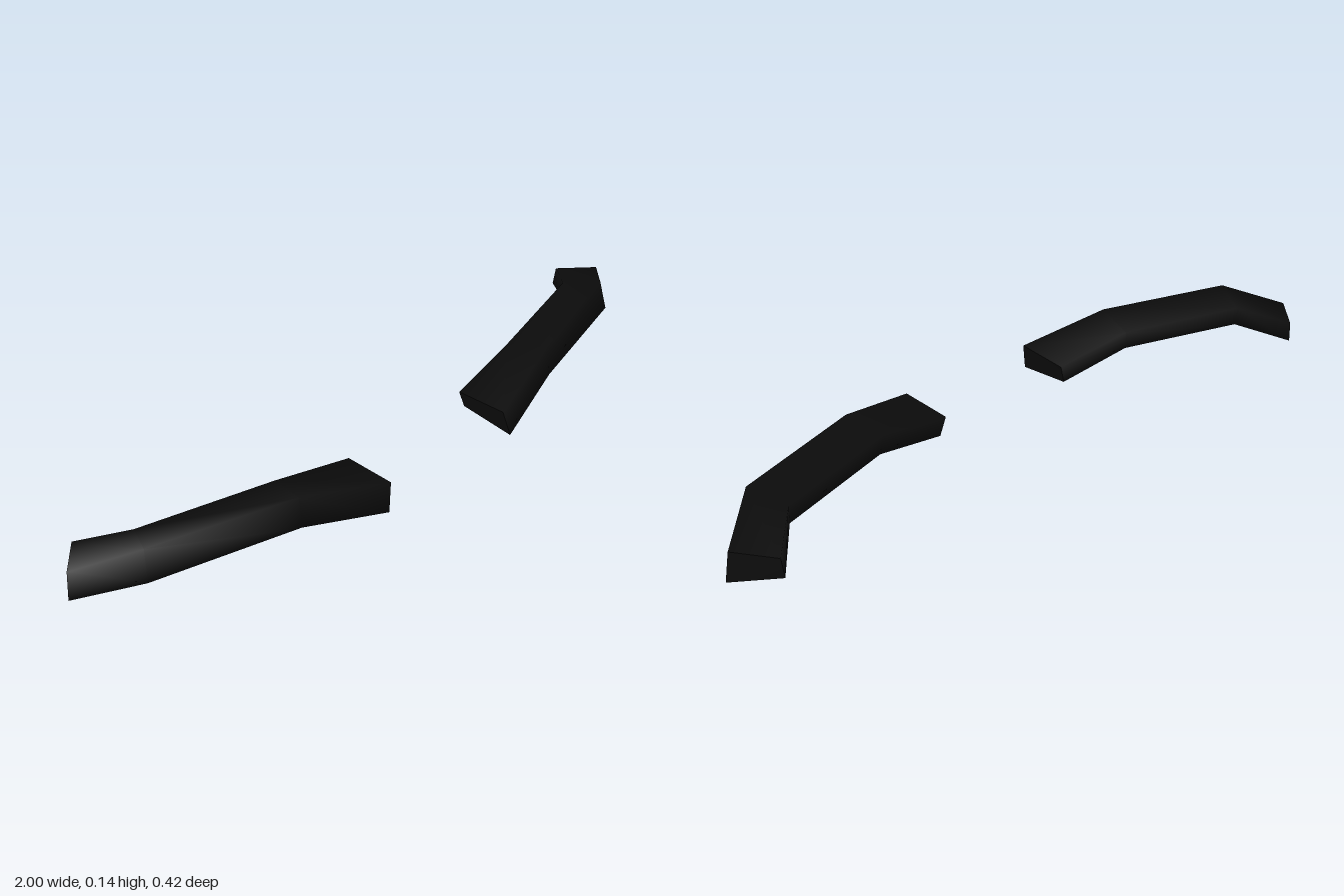
import * as THREE from 'three';

// Cross-sections from the inner end to the outer tip.
// Corners of each: top front, top back, bottom back, bottom front.
const SECTIONS = [
  [[0.213, 0.088, 0.197], [0.21, 0.079, 0.04], [0.226, 0.026, 0.045], [0.232, 0.009, 0.21]],
  [[0.465, 0.144, 0.13], [0.44, 0.119, 0.013], [0.445, 0.067, 0.02], [0.47, 0.06, 0.143]],
  [[0.85, 0.142, 0.012], [0.803, 0.116, -0.09], [0.80, 0.064, -0.085], [0.862, 0.055, 0.03]],
  [[0.99, 0.082, -0.112], [0.91, 0.073, -0.204], [0.905, 0.02, -0.209], [1.0, 0.0, -0.107]],
];

function toGeometry(points, quads, flip) {
  const index = [];
  for (const [a, b, c, d] of quads) {
    index.push(...(flip ? [a, c, b, a, d, c] : [a, b, c, a, c, d]));
  }
  const geometry = new THREE.BufferGeometry();
  geometry.setAttribute('position', new THREE.Float32BufferAttribute(points.flat(), 3));
  geometry.setIndex(index);
  geometry.computeVertexNormals();
  return geometry;
}

// side is +1 for the left brow, -1 for its mirror image
function createBrow(side, material) {
  const sections = SECTIONS.map(s => s.map(([x, y, z]) => [x * side, y, z]));
  const flip = side < 0;
  const brow = new THREE.Group();
  const add = (name, points, quads) => {
    const mesh = new THREE.Mesh(toGeometry(points, quads, flip), material);
    mesh.name = name;
    brow.add(mesh);
  };

  // Smooth strip running along the brow
  const quads = [];
  for (let s = 0; s < sections.length - 1; s++) {
    for (let i = 0; i < 4; i++) {
      const j = (i + 1) % 4;
      quads.push([s * 4 + i, s * 4 + 4 + i, s * 4 + 4 + j, s * 4 + j]);
    }
  }
  add('browStrip', sections.flat(), quads);

  // Flat ends with hard edges
  add('innerEnd', sections[0], [[0, 1, 2, 3]]);
  add('outerEnd', sections[sections.length - 1], [[3, 2, 1, 0]]);
  return brow;
}

export function createModel() {
  const black = new THREE.MeshStandardMaterial({ color: 0x0c0c0c });
  black.name = 'browBlack';

  const model = new THREE.Group();
  model.name = 'eyebrows';
  for (const [name, side] of [['leftBrow', 1], ['rightBrow', -1]]) {
    const brow = createBrow(side, black);
    brow.name = name;
    model.add(brow);
  }
  return model;
}
